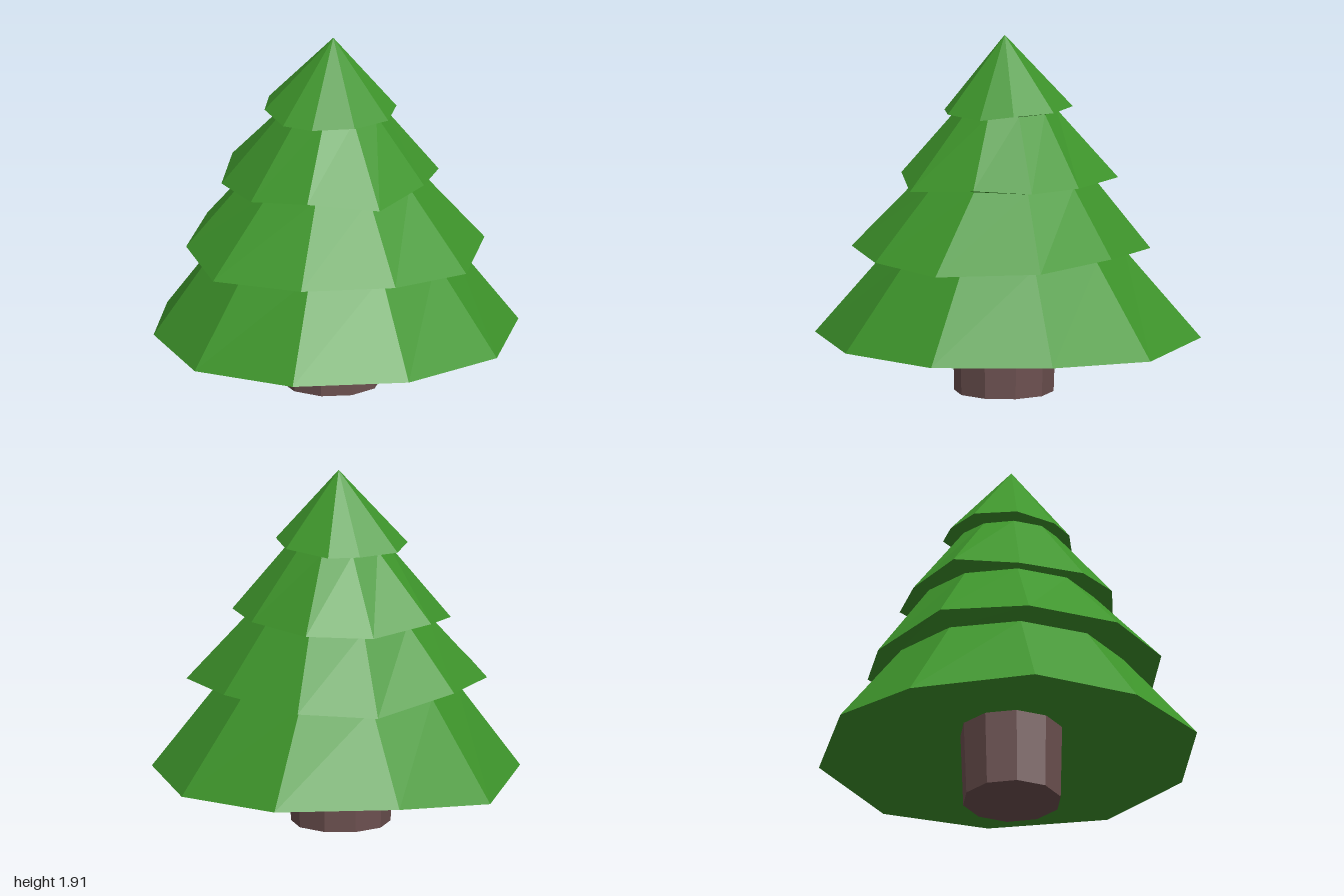
import * as THREE from 'three';

const SIDES = 10;

// Regular ring of points, starting at the back (-z) and turning toward +x
const ring = (radius, y, x = 0, z = 0) => Array.from({ length: SIDES }, (_, i) => {
  const a = (i / SIDES) * Math.PI * 2;
  return [x + radius * Math.sin(a), y, z - radius * Math.cos(a)];
});

// Flat-shaded skin through a list of rings, from the bottom inside to the top
function skin(name, rings, material) {
  const positions = [];
  for (let r = 0; r < rings.length - 1; r++) {
    const low = rings[r], high = rings[r + 1];
    for (let i = 0; i < SIDES; i++) {
      const j = (i + 1) % SIDES;
      const lowIsPoint = low[i].every((v, k) => v === low[j][k]);
      const highIsPoint = high[i].every((v, k) => v === high[j][k]);
      if (!lowIsPoint) positions.push(...low[j], ...low[i], ...high[i]);
      if (!highIsPoint) positions.push(...low[j], ...high[i], ...high[j]);
    }
  }
  const geometry = new THREE.BufferGeometry();
  geometry.setAttribute('position', new THREE.Float32BufferAttribute(positions, 3));
  geometry.computeVertexNormals();
  const mesh = new THREE.Mesh(geometry, material);
  mesh.name = name;
  return mesh;
}

// Uneven branch rims, same order as ring()
const lowestRim = [
  [0.01, 0.28, -1], [0.57, 0.3, -0.8], [0.96, 0.295, -0.29], [0.94, 0.295, 0.32], [0.59, 0.3, 0.83],
  [0.01, 0.28, 1], [-0.53, 0.3, 0.8], [-0.97, 0.255, 0.3], [-0.95, 0.305, -0.27], [-0.6, 0.3, -0.83],
];
const lowerRim = [
  [0.01, 0.795, -0.73], [0.48, 0.77, -0.64], [0.82, 0.75, -0.2], [0.77, 0.765, 0.26], [0.48, 0.765, 0.67],
  [0, 0.745, 0.86], [-0.44, 0.78, 0.65], [-0.71, 0.81, 0.25], [-0.71, 0.745, -0.24], [-0.47, 0.77, -0.59],
];
const upperRim = [
  [0.04, 1.155, -0.53], [0.33, 1.155, -0.45], [0.5, 1.165, -0.19], [0.57, 1.125, 0.19], [0.31, 1.16, 0.47],
  [0, 1.125, 0.59], [-0.35, 1.115, 0.48], [-0.57, 1.165, 0.2], [-0.54, 1.13, -0.15], [-0.36, 1.15, -0.46],
];
const topRim = [
  [0.01, 1.53, -0.33], [0.23, 1.53, -0.24], [0.33, 1.505, -0.09], [0.32, 1.51, 0.14], [0.16, 1.495, 0.3],
  [0, 1.495, 0.36], [-0.21, 1.52, 0.3], [-0.36, 1.52, 0.13], [-0.33, 1.52, -0.09], [-0.25, 1.52, -0.24],
];

export function createModel() {
  const tree = new THREE.Group();
  tree.name = 'pineTree';
  const green = new THREE.MeshStandardMaterial({ color: 0x3e952b, flatShading: true });
  const brown = new THREE.MeshStandardMaterial({ color: 0x6d5150, flatShading: true });

  // Rings where one tier tucks under the next
  const core = ring(0.25, 0.405, 0, 0.02);
  const joints = [ring(0.62, 0.765), ring(0.46, 1.145), ring(0.26, 1.515)];
  const apex = ring(0, 1.91, 0.01, 0.01);

  // Branch tiers: underside, rim, then slope up to the next tier
  const foliage = new THREE.Group();
  foliage.name = 'foliage';
  foliage.add(
    skin('lowestBranches', [core, lowestRim, joints[0]], green),
    skin('lowerBranches', [joints[0], lowerRim, joints[1]], green),
    skin('upperBranches', [joints[1], upperRim, joints[2]], green),
    skin('topBranches', [joints[2], topRim, apex], green),
  );

  // Trunk with closed base
  const trunk = skin('trunk', [ring(0, 0, 0, 0.02), ring(0.263, 0, 0.005, 0.02), ring(0.275, 0.43, 0, 0.02)], brown);

  tree.add(foliage, trunk);
  return tree;
}
